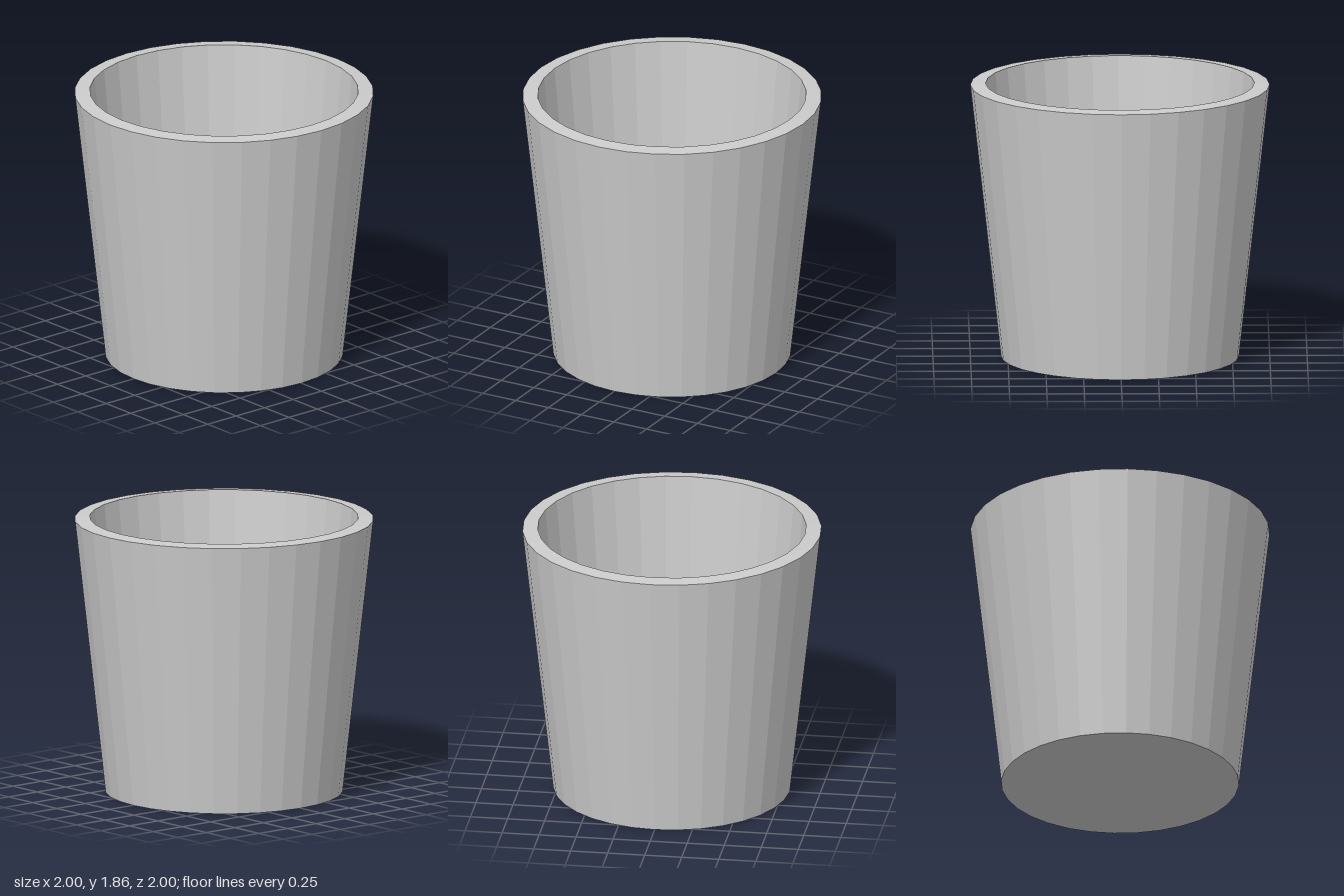
import * as THREE from 'three';

const SIDES = 32;

export function createModel() {
  const group = new THREE.Group();
  group.name = 'cup';
  const material = new THREE.MeshStandardMaterial({ color: 0xcccccc, flatShading: true });

  // Each part is a faceted ring or disc turned from a short [radius, height] profile
  const addPart = (name, profile) => {
    const points = profile.map(([r, y]) => new THREE.Vector2(r, y));
    const mesh = new THREE.Mesh(new THREE.LatheGeometry(points, SIDES), material);
    mesh.name = name;
    group.add(mesh);
  };

  // Corners of the wall's cross-section
  const outerBottom = [0.795, 0];
  const outerTop = [1, 1.851];
  const innerTop = [0.898, 1.862];
  const innerBottom = [0.728, 0.076];

  addPart('base', [[0, 0], outerBottom]);
  addPart('outerWall', [outerBottom, outerTop]);
  addPart('rim', [outerTop, innerTop]); // rises slightly towards the inside
  addPart('innerWall', [innerTop, innerBottom]);
  addPart('floor', [innerBottom, [0, 0.076]]);

  return group;
}
